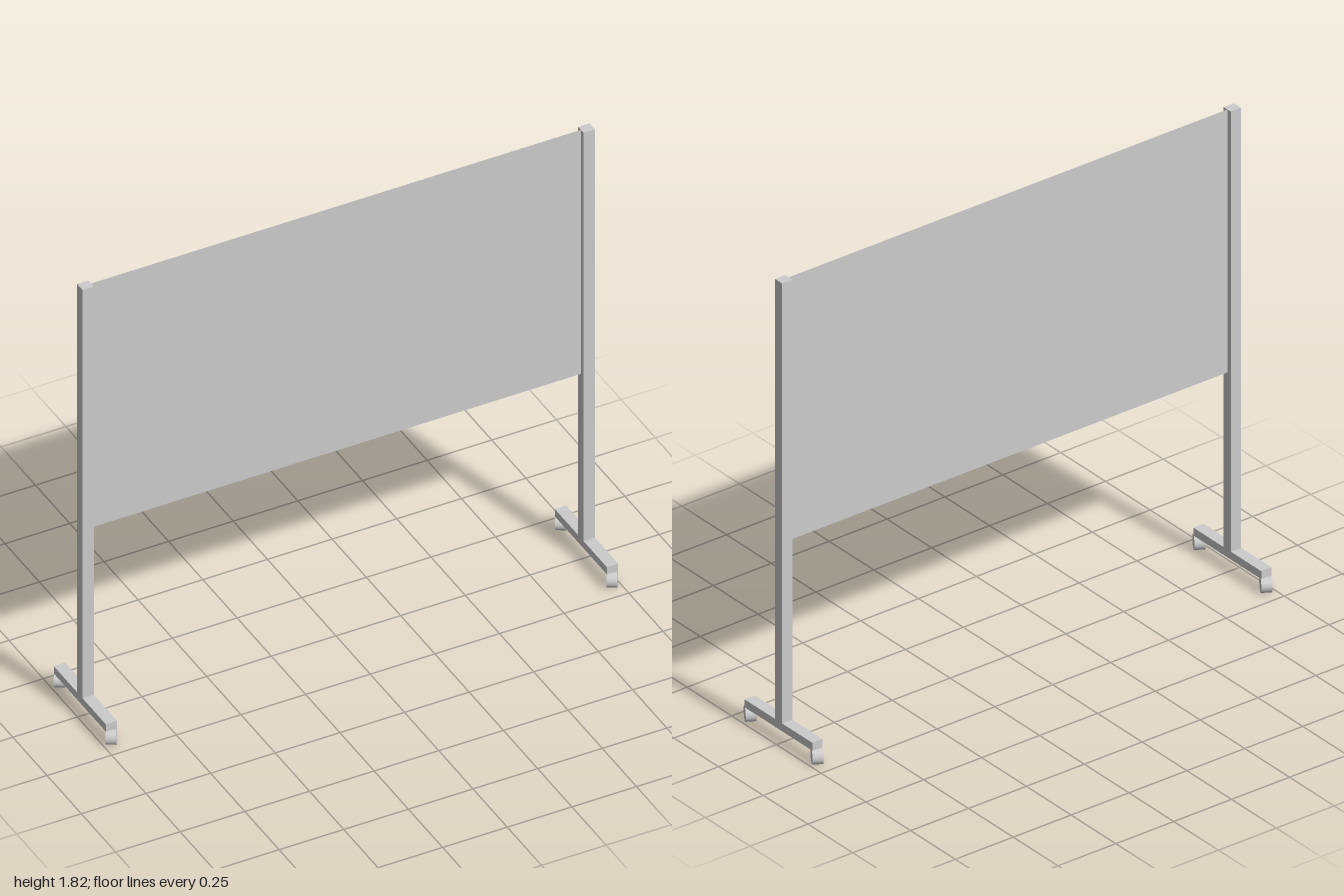
import * as THREE from 'three';

const POST_X = 0.969, POST_W = 0.044, TOP = 1.82;
const BAR_BOTTOM = 0.058, BAR_TOP = 0.089, BAR_LENGTH = 0.38;
const WHEEL_R = 0.0285, WHEEL_W = 0.038, WHEEL_Z = 0.187;
const PANEL_BOTTOM = 0.785;

export function createModel() {
  const model = new THREE.Group();
  model.name = 'mobileScreen';
  const material = new THREE.MeshStandardMaterial({ color: 0xcccccc });

  const add = (parent, name, geometry, x, y, z, mat = material) => {
    const mesh = new THREE.Mesh(geometry, mat);
    mesh.name = name;
    mesh.position.set(x, y, z);
    parent.add(mesh);
    return mesh;
  };

  // Thin sheet stretched between the inner faces of the posts
  const panelMaterial = material.clone();
  panelMaterial.side = THREE.DoubleSide;
  add(model, 'panel', new THREE.PlaneGeometry(2 * POST_X - POST_W, TOP - PANEL_BOTTOM),
    0, (TOP + PANEL_BOTTOM) / 2, 0, panelMaterial);

  // Shared stand geometries; the wheel axle lies along x
  const postGeometry = new THREE.BoxGeometry(POST_W, TOP - BAR_TOP, 0.04);
  const barGeometry = new THREE.BoxGeometry(POST_W, BAR_TOP - BAR_BOTTOM, BAR_LENGTH);
  const wheelGeometry = new THREE.CylinderGeometry(WHEEL_R, WHEEL_R, WHEEL_W, 24).rotateZ(Math.PI / 2);

  for (const side of [-1, 1]) {
    const stand = new THREE.Group();
    stand.name = side > 0 ? 'leftStand' : 'rightStand';
    stand.position.x = side * POST_X;
    model.add(stand);

    add(stand, 'post', postGeometry, 0, (TOP + BAR_TOP) / 2, 0);
    add(stand, 'footBar', barGeometry, 0, (BAR_TOP + BAR_BOTTOM) / 2, 0);

    // Casters all swivelled the same way
    for (const end of [-1, 1]) {
      const wheel = add(stand, end > 0 ? 'frontWheel' : 'backWheel', wheelGeometry, 0, WHEEL_R, end * WHEEL_Z);
      wheel.rotation.y = -Math.PI / 6;
    }
  }
  return model;
}
